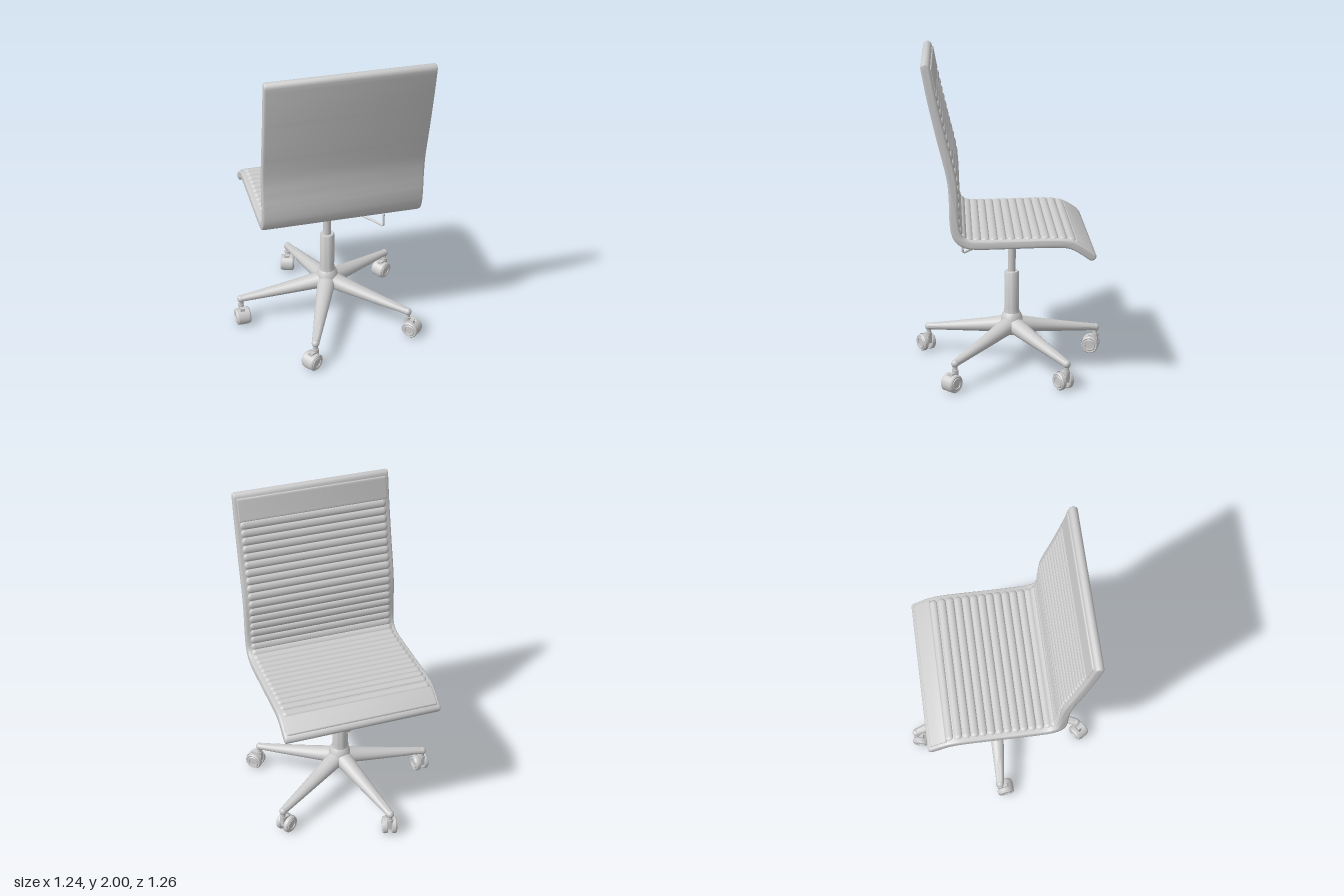
import * as THREE from 'three';
import { toCreasedNormals } from 'three/addons/utils/BufferGeometryUtils.js';

const material = new THREE.MeshStandardMaterial({ color: 0xcccccc });

function add(parent, name, geometry, x = 0, y = 0, z = 0) {
  const mesh = new THREE.Mesh(geometry, material);
  mesh.name = name;
  mesh.position.set(x, y, z);
  parent.add(mesh);
  return mesh;
}

const cylinder = (rTop, rBottom, h, sides = 28) => new THREE.CylinderGeometry(rTop, rBottom, h, sides);
const lathe = (points, sides = 32) =>
  toCreasedNormals(new THREE.LatheGeometry(points.map(p => new THREE.Vector2(...p)), sides), 0.7);

// Side profile of the seat and back, as (forward, up), from the top of the back to the seat front
const profile = new THREE.SplineCurve([
  [-0.485, 1.974], [-0.453, 1.8], [-0.404, 1.58], [-0.347, 1.34], [-0.334, 1.2], [-0.332, 1.08],
  [-0.318, 0.99], [-0.275, 0.942], [-0.2, 0.928], [0, 0.93], [0.2, 0.934], [0.33, 0.93],
  [0.4, 0.904], [0.478, 0.852],
].map(p => new THREE.Vector2(...p)));
profile.arcLengthDivisions = 600;

// Point at a distance along the profile's normal, on the sitter's side when positive
function offsetPoint(u, distance, along = 0) {
  const p = profile.getPointAt(u), t = profile.getTangentAt(u);
  return new THREE.Vector2(p.x - t.y * distance + t.x * along, p.y + t.x * distance + t.y * along);
}

// Slab that follows the profile, with rounded ends and bevelled sides
function slab(u0, u1, low, high, width, bevel) {
  const points = [], steps = 70, mid = (low + high) / 2, r = (high - low) / 2;
  for (let i = 0; i <= steps; i++) points.push(offsetPoint(u0 + (u1 - u0) * i / steps, high));
  for (let i = 1; i < 8; i++) {
    const a = Math.PI * i / 8;
    points.push(offsetPoint(u1, mid + r * Math.cos(a), r * Math.sin(a)));
  }
  for (let i = steps; i >= 0; i--) points.push(offsetPoint(u0 + (u1 - u0) * i / steps, low));
  for (let i = 1; i < 8; i++) {
    const a = Math.PI * i / 8;
    points.push(offsetPoint(u0, mid - r * Math.cos(a), -r * Math.sin(a)));
  }
  const depth = width - 2 * bevel;
  const g = new THREE.ExtrudeGeometry(new THREE.Shape(points), {
    depth, bevelEnabled: true, bevelSize: bevel, bevelThickness: bevel, bevelOffset: -bevel, bevelSegments: 3,
  });
  g.translate(0, 0, -depth / 2).rotateY(-Math.PI / 2);
  return toCreasedNormals(g, 0.6);
}

function buildSeat() {
  const seat = new THREE.Group();
  seat.name = 'seatAndBack';
  add(seat, 'shell', slab(0, 1, -0.027, 0.027, 0.99, 0.012));
  add(seat, 'headPad', slab(0.01, 0.08, 0.015, 0.035, 0.95, 0.006));
  add(seat, 'frontPad', slab(0.935, 0.99, 0.015, 0.035, 0.95, 0.006));

  // Row of flattened round ribs running across the shell
  const count = 31;
  const rib = new THREE.CapsuleGeometry(0.026, 0.89, 6, 16).rotateZ(Math.PI / 2).scale(1, 0.6, 1);
  for (let i = 0; i < count; i++) {
    const u = 0.098 + 0.825 * i / (count - 1);
    const p = offsetPoint(u, 0.023), t = profile.getTangentAt(u);
    add(seat, 'rib', rib, 0, p.y, p.x).rotation.x = -Math.atan2(t.y, t.x);
  }
  seat.position.z = -0.01;
  return seat;
}

// Tapered arm: a cylinder reshaped to narrow and slope toward its tip
function armGeometry(length) {
  const g = new THREE.CylinderGeometry(1, 1, 1, 20, 10).rotateX(Math.PI / 2);
  const p = g.attributes.position, lerp = THREE.MathUtils.lerp;
  for (let i = 0; i < p.count; i++) {
    const t = p.getZ(i) + 0.5;
    const top = lerp(0.325, 0.193, Math.pow(t, 0.85)), bottom = lerp(0.205, 0.15, t);
    p.setXYZ(i, p.getX(i) * lerp(0.062, 0.024, t),
      (top + bottom) / 2 + p.getY(i) * (top - bottom) / 2, t * length);
  }
  g.computeVertexNormals();
  return toCreasedNormals(g, 0.9);
}

function buildCaster(yaw) {
  const caster = new THREE.Group();
  caster.name = 'caster';
  caster.rotation.y = yaw;
  add(caster, 'stem', cylinder(0.015, 0.015, 0.09, 16), 0, 0.135, 0);
  add(caster, 'collar', cylinder(0.02, 0.02, 0.02, 16), 0, 0.12, 0);
  add(caster, 'body', new THREE.BoxGeometry(0.028, 0.06, 0.06), 0, 0.085, 0.015);
  add(caster, 'axle', cylinder(0.012, 0.012, 0.08, 12).rotateZ(Math.PI / 2), 0, 0.055, 0.032);
  const wheel = lathe([[0, 0.012], [0.026, 0.012], [0.028, 0.017], [0.036, 0.017], [0.04, 0.012],
    [0.049, 0.015], [0.055, 0.008], [0.055, -0.012], [0.05, -0.017], [0, -0.017]].reverse(), 24);
  for (const side of [-1, 1])
    add(caster, 'wheel', wheel, side * 0.03, 0.055, 0.032).rotation.z = -side * Math.PI / 2;
  // Hood over the wheel pair
  const hood = new THREE.CylinderGeometry(0.058, 0.058, 0.05, 16, 1, true, -0.9, 1.8);
  hood.rotateZ(Math.PI / 2).rotateX(-0.2);
  const hoodMesh = add(caster, 'hood', hood, 0, 0.055, 0.032);
  hoodMesh.material = material.clone();
  hoodMesh.material.side = THREE.DoubleSide;
  return caster;
}

function buildBase() {
  const base = new THREE.Group();
  base.name = 'base';
  add(base, 'hub', lathe([[0, 0.2], [0.06, 0.2], [0.075, 0.225], [0.072, 0.29], [0.062, 0.325], [0.05, 0.34], [0, 0.34]]));
  add(base, 'columnSleeve', lathe([[0, 0.33], [0.052, 0.33], [0.046, 0.37], [0.046, 0.605], [0.042, 0.612], [0, 0.612]]));
  add(base, 'gasPiston', cylinder(0.025, 0.025, 0.24), 0, 0.71, 0);

  // Five arms, each ending in a swivelled caster
  const reach = 0.573, arm = armGeometry(reach);
  [-0.69, 1.1, -0.7, 0, 0.37].forEach((yaw, i) => {
    const spoke = new THREE.Group();
    spoke.name = 'spoke';
    spoke.rotation.y = -0.089 + i * Math.PI * 2 / 5;
    add(spoke, 'arm', arm);
    add(spoke, 'armTip', new THREE.SphereGeometry(0.0245, 18, 12), 0, 0.17, reach);
    const caster = buildCaster(yaw - spoke.rotation.y);
    caster.position.z = reach;
    spoke.add(caster);
    base.add(spoke);
  });
  return base;
}

function rod(parent, name, points, radius) {
  const path = new THREE.CatmullRomCurve3(points.map(p => new THREE.Vector3(...p)), false, 'catmullrom', 0.1);
  add(parent, name, new THREE.TubeGeometry(path, 32, radius, 10));
}

function buildMechanism() {
  const group = new THREE.Group();
  group.name = 'mechanism';
  const turned = new THREE.Group();
  turned.name = 'housing';
  turned.rotation.y = 0.286;
  add(turned, 'gearBox', new THREE.BoxGeometry(0.17, 0.065, 0.11), 0, 0.838, 0);
  // Rounded mounting plate
  const w = 0.18, d = 0.13, r = 0.07, s = new THREE.Shape();
  [[w, d, 0], [-w, d, 1], [-w, -d, 2], [w, -d, 3]].forEach(([x, y, q]) =>
    s.absarc(x - Math.sign(x) * r, y - Math.sign(y) * r, r, q * Math.PI / 2, (q + 1) * Math.PI / 2));
  const plate = new THREE.ExtrudeGeometry(s, { depth: 0.036, bevelEnabled: false }).rotateX(-Math.PI / 2);
  add(turned, 'mountPlate', toCreasedNormals(plate, 0.6), 0, 0.87, 0);
  group.add(turned);

  // Control levers: a paddle on one side, a bent rod on the other
  rod(group, 'paddleRod', [[-0.05, 0.86, -0.03], [-0.18, 0.85, -0.08], [-0.29, 0.835, -0.12]], 0.007);
  const paddle = new THREE.CapsuleGeometry(0.014, 0.11, 4, 12).rotateZ(Math.PI / 2);
  add(group, 'paddle', paddle, -0.35, 0.833, -0.145).rotation.y = -0.38;
  rod(group, 'bentRod', [[0.05, 0.86, 0.03], [0.15, 0.85, 0.09], [0.34, 0.822, 0.205], [0.352, 0.818, 0.217],
    [0.355, 0.83, 0.22], [0.355, 0.91, 0.22]], 0.007);
  return group;
}

export function createModel() {
  const model = new THREE.Group();
  model.name = 'officeChair';
  const seat = buildSeat();
  seat.rotation.y = Math.PI + 0.286;
  const lower = new THREE.Group();
  lower.name = 'underframe';
  lower.position.set(-0.015, 0, -0.037);
  lower.add(buildBase(), buildMechanism());
  model.add(seat, lower);
  return model;
}
